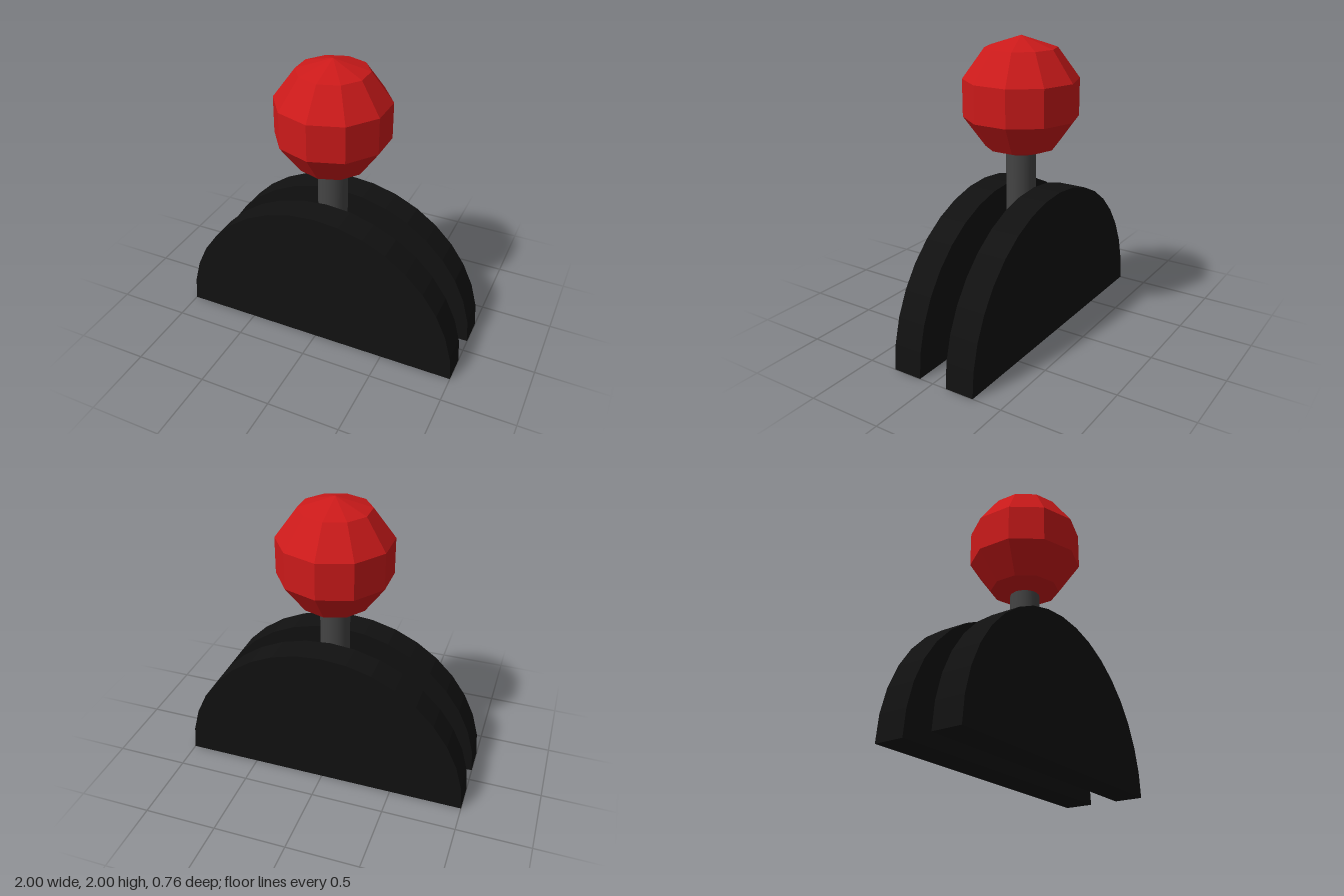
import * as THREE from 'three';

const material = (color) => new THREE.MeshStandardMaterial({ color, flatShading: true });

export function createModel() {
  const model = new THREE.Group();
  model.name = 'leverSwitch';

  const add = (name, geometry, mat, y, z = 0) => {
    const mesh = new THREE.Mesh(geometry, mat);
    mesh.name = name;
    mesh.position.set(0, y, z);
    model.add(mesh);
    return mesh;
  };

  // Two half-disc base plates with a slot between them
  const arc = new THREE.Shape();
  arc.moveTo(1, 0);
  for (let i = 1; i <= 18; i++) {
    const a = (i * Math.PI) / 18;
    arc.lineTo(Math.cos(a), Math.sin(a));
  }
  arc.closePath();
  const plate = new THREE.ExtrudeGeometry(arc, { depth: 0.2, bevelEnabled: false });
  const black = material(0x111111);
  add('frontPlate', plate, black, 0, 0.1);
  add('backPlate', plate, black, 0, -0.3);

  // Lever rod standing in the slot
  const rodMaterial = new THREE.MeshStandardMaterial({ color: 0x444444 });
  add('rod', new THREE.CylinderGeometry(0.1, 0.1, 1.2, 32), rodMaterial, 0.7);

  // Faceted knob, turned so a corner faces the front
  const knob = add('knob', new THREE.SphereGeometry(0.4, 10, 5), material(0xcc1a1a), 1.6);
  knob.rotation.y = Math.PI / 2;

  return model;
}
